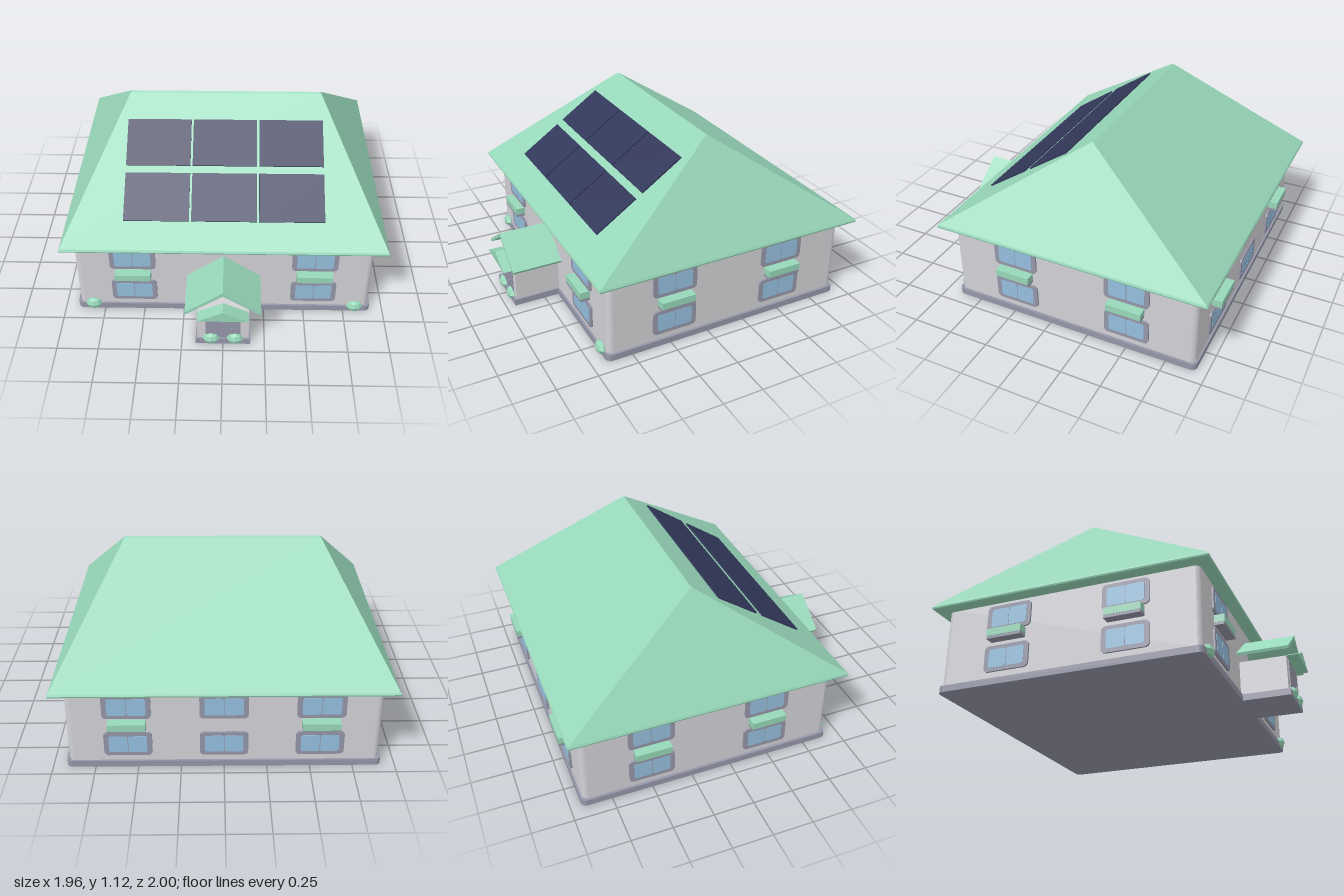
import * as THREE from 'three';

const mat = (name, color, side = THREE.FrontSide) => {
  const m = new THREE.MeshStandardMaterial({ color, side });
  m.name = name;
  return m;
};

export function createModel() {
  const green = mat('mint green', 0x97d7b9);
  const wall = mat('pale grey wall', 0xd2d1d6);
  const trim = mat('slate trim', 0x9596a8);
  const glass = mat('window blue', 0x95bfde);
  const solar = mat('solar navy', 0x32385a);
  const model = new THREE.Group();
  model.name = 'house';
  const ZC = -0.1375, HX = 0.905, HZ = 0.785;

  const add = (name, geo, material, x = 0, y = 0, z = 0, parent = model) => {
    const m = new THREE.Mesh(geo, material);
    m.name = name;
    m.position.set(x, y, z);
    parent.add(m);
    return m;
  };
  const box = (name, w, h, d, material, x, y, z, parent) =>
    add(name, new THREE.BoxGeometry(w, h, d), material, x, y, z, parent);

  const roundedRect = (w, h, r) => {
    const s = new THREE.Shape(), a = w / 2, b = h / 2;
    s.moveTo(-a + r, -b);
    s.lineTo(a - r, -b).absarc(a - r, -b + r, r, -Math.PI / 2, 0);
    s.lineTo(a, b - r).absarc(a - r, b - r, r, 0, Math.PI / 2);
    s.lineTo(-a + r, b).absarc(-a + r, b - r, r, Math.PI / 2, Math.PI);
    s.lineTo(-a, -b + r).absarc(-a + r, -b + r, r, Math.PI, Math.PI * 1.5);
    return s;
  };
  const polygon = (pts) => new THREE.Shape(pts.map(([x, y]) => new THREE.Vector2(x, y)));
  const extrude = (shape, depth) =>
    new THREE.ExtrudeGeometry(shape, { depth, bevelEnabled: false, curveSegments: 5 });

  // Main body and plinth, both with rounded corners
  const upright = (w, d, r, h) => extrude(roundedRect(w, d, r), h).rotateX(-Math.PI / 2);
  add('plinth', upright(0.92 * 2, 0.797 * 2, 0.035, 0.04), trim, 0, 0, ZC);
  add('walls', upright(HX * 2, HZ * 2, 0.035, 0.49), wall, 0, 0.038, ZC);

  // Hipped roof lofted through rectangles: [y, half x, half z]
  const rings = [
    [0.515, 0, 0], [0.515, 0.966, 0.846], [0.521, 0.976, 0.856],
    [0.53, 0.979, 0.8595], [0.542, 0.974, 0.853], [1.117, 0.6, 0.013], [1.125, 0.588, 0],
  ];
  const pos = [];
  const corner = ([y, a, b], i) => [[-a, y, b], [a, y, b], [a, y, -b], [-a, y, -b]][i % 4];
  for (let k = 0; k < rings.length - 1; k++) {
    for (let i = 0; i < 4; i++) {
      const p = corner(rings[k], i), q = corner(rings[k], i + 1);
      const r = corner(rings[k + 1], i + 1), s = corner(rings[k + 1], i);
      pos.push(...p, ...q, ...r, ...p, ...r, ...s);
    }
  }
  const roofGeo = new THREE.BufferGeometry();
  roofGeo.setAttribute('position', new THREE.Float32BufferAttribute(pos, 3));
  roofGeo.computeVertexNormals();
  add('roof', roofGeo, green, 0, 0, ZC);

  // Solar panels lying on the front slope
  const slope = (1.117 - 0.542) / (0.853 - 0.013);
  const pitch = Math.atan(slope);
  for (const z of [0.155, 0.445]) {
    for (const x of [-0.406, 0, 0.406]) {
      const y = 0.542 + (ZC + 0.853 - z) * slope + 0.006;
      box('solarPanel', 0.393, 0.009, 0.25 / Math.cos(pitch), solar, x, y, z).rotation.x = pitch;
    }
  }

  // Windows and flower boxes, placed in the plane of each wall
  const frameGeo = extrude(roundedRect(0.28, 0.158, 0.026), 0.012);
  const paneGeo = extrude(roundedRect(0.109, 0.112, 0.012), 0.002);
  const addWindow = (side, x, y) => {
    const w = new THREE.Group();
    w.name = 'window';
    w.position.set(x, y, 0);
    side.add(w);
    add('windowFrame', frameGeo, trim, 0, 0, -0.001, w);
    for (const s of [-1, 1]) add('windowPane', paneGeo, glass, s * 0.0565, 0, 0.0105, w);
  };
  const faces = [
    ['front', 0, HZ, [-0.555, 0.555], []],
    ['back', Math.PI, HZ, [-0.555, 0.555], [0]],
    ['left', Math.PI / 2, HX, [-0.362, 0.362], []],
    ['right', -Math.PI / 2, HX, [-0.362, 0.362], []],
  ];
  for (const [name, angle, dist, boxed, plain] of faces) {
    const side = new THREE.Group();
    side.name = name + 'Windows';
    side.rotation.y = angle;
    side.position.set(Math.sin(angle) * dist, 0, ZC + Math.cos(angle) * dist);
    model.add(side);
    for (const x of [...boxed, ...plain]) {
      addWindow(side, x, 0.415);
      addWindow(side, x, 0.16);
    }
    for (const x of boxed) {
      box('flowerBoxShelf', 0.216, 0.018, 0.058, trim, x, 0.274, 0.029, side);
      box('flowerBox', 0.218, 0.044, 0.06, green, x, 0.304, 0.03, side);
    }
  }

  // Entrance porch
  const porch = new THREE.Group();
  porch.name = 'porch';
  model.add(porch);
  box('porchBase', 0.33, 0.04, 0.345, trim, 0, 0.02, 0.7725, porch);
  box('porchWalls', 0.31, 0.21, 0.33, wall, 0, 0.145, 0.765, porch);
  box('door', 0.21, 0.2, 0.008, trim, 0, 0.139, 0.931, porch);
  add('doorHandle', new THREE.CapsuleGeometry(0.006, 0.024, 3, 8), trim, 0.055, 0.112, 0.94, porch);
  add('pediment', extrude(polygon([[-0.152, 0.25], [0.152, 0.25], [0, 0.322]]), 0.08), green, 0, 0, 0.92, porch);
  add('porchRoof', extrude(polygon([
    [-0.225, 0.282], [-0.218, 0.266], [0, 0.415], [0.218, 0.266], [0.225, 0.282], [0, 0.442],
  ]), 0.32), green, 0, 0, 0.64, porch);

  // Low-poly shrubs by the walls and the door
  const bushGeo = new THREE.SphereGeometry(0.052, 8, 4).toNonIndexed();
  bushGeo.scale(1, 0.73, 0.65);
  bushGeo.computeVertexNormals();
  for (const s of [-1, 1]) {
    add('cornerBush', bushGeo, green, s * 0.82, 0.041, 0.655);
    add('doorBush', bushGeo, green, s * 0.072, 0.041, 0.935);
  }
  return model;
}
